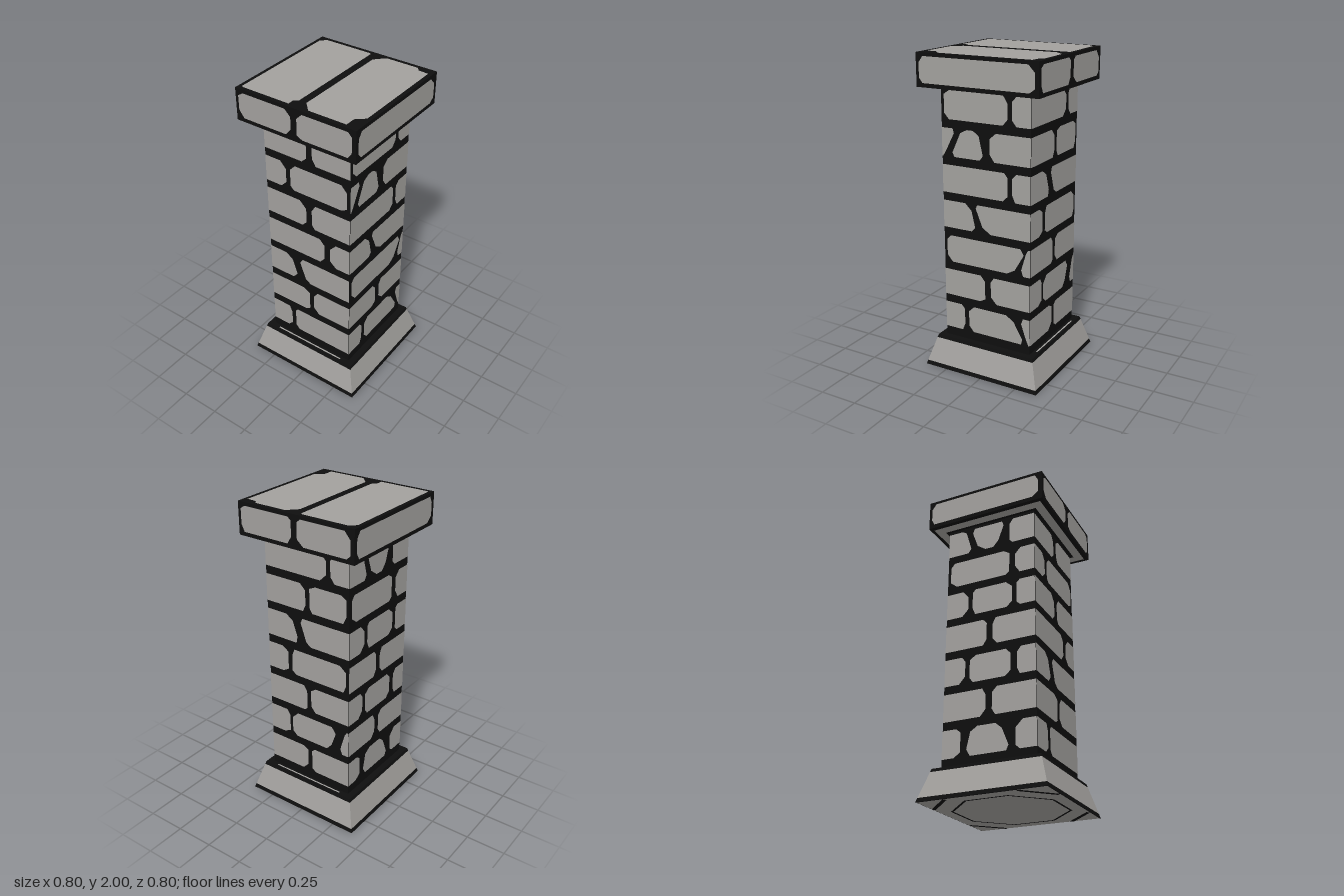
import * as THREE from 'three';

const stoneMat = new THREE.MeshStandardMaterial({ color: 0xa2a09d });
stoneMat.name = 'grey stone';
const mortarMat = new THREE.MeshStandardMaterial({ color: 0x0e0e0e });
mortarMat.name = 'black mortar';

const GAP = 0.002; // painted faces sit this far off the surface

// Stones per row, bottom row first: [left, right] or [bottomLeft, bottomRight, topRight, topLeft]
const FACES = {
  front: [
    [[-0.3, -0.16], [-0.13, 0.27, 0.17, -0.13], [0.29, 0.3, 0.3, 0.23]],
    [[-0.3, -0.01], [0.03, 0.3]],
    [[-0.28, 0.18, 0.28, -0.28], [0.23, 0.3, 0.3, 0.28]],
    [[-0.3, -0.07, -0.11, -0.3], [-0.01, 0.3, 0.3, -0.08]],
    [[-0.3, 0.15], [0.18, 0.3]],
    [[-0.3, -0.29, -0.2, -0.3], [-0.24, -0.01, -0.05, -0.16], [0.03, 0.3]],
    [[-0.28, 0.15], [0.18, 0.3]],
  ],
  right: [
    [[-0.3, -0.01], [0.02, 0.3]],
    [[-0.3, -0.15], [-0.13, 0.16, 0.22, -0.13], [0.23, 0.3, 0.3, 0.28]],
    [[-0.3, -0.01], [0.02, 0.3]],
    [[-0.3, -0.15], [-0.12, 0.28]],
    [[-0.3, -0.06, -0.12, -0.3], [0.0, 0.3, 0.3, -0.06]],
    [[-0.3, -0.01], [0.02, 0.28]],
    [[-0.3, 0.14], [0.17, 0.3]],
  ],
  back: [
    [[-0.3, -0.18], [-0.15, 0.14, 0.07, -0.11], [0.17, 0.3]],
    [[-0.3, -0.02], [0.02, 0.3]],
    [[-0.3, -0.16], [-0.13, 0.14], [0.18, 0.3]],
    [[-0.3, -0.02], [0.02, 0.3]],
    [[-0.3, -0.15], [-0.12, 0.15], [0.18, 0.3]],
    [[-0.28, 0.13], [0.17, 0.3]],
    [[-0.3, -0.13, -0.18, -0.3], [-0.08, 0.04, 0.1, -0.14], [0.13, 0.3]],
  ],
  left: [
    [[-0.3, -0.15], [-0.12, 0.3]],
    [[-0.3, 0], [0.03, 0.3]],
    [[-0.3, -0.08, -0.14, -0.3], [-0.02, 0.3, 0.3, -0.08]],
    [[-0.3, 0.12], [0.16, 0.3]],
    [[-0.3, -0.01], [0.03, 0.3]],
    [[-0.3, -0.15], [-0.12, 0.28]],
    [[-0.3, 0], [0.04, 0.3]],
  ],
};
const ANGLES = { front: 0, right: Math.PI / 2, back: Math.PI, left: -Math.PI / 2 };

let seed = 7;
const rand = () => (seed = (seed * 16807) % 2147483647) / 2147483647;

function add(parent, name, geometry, material) {
  const mesh = new THREE.Mesh(geometry, material);
  mesh.name = name;
  parent.add(mesh);
  return mesh;
}

// Flat stone with worn corners; corners that wrap round the pillar stay square
function stoneGeometry(spec, y0, y1, limit = 9) {
  const [bl, br, tr, tl] = spec.length === 2 ? [spec[0], spec[1], spec[1], spec[0]] : spec;
  const corners = [[bl, y0], [br, y0], [tr, y1], [tl, y1]].map(p => new THREE.Vector2(...p));
  const points = [];
  corners.forEach((c, i) => {
    if (Math.abs(c.x) >= limit) return points.push(c);
    const prev = corners[(i + 3) % 4], next = corners[(i + 1) % 4];
    const cut = (other) => {
      const d = other.clone().sub(c);
      const wear = Math.min(0.018 + 0.028 * rand(), d.length() * 0.35);
      return c.clone().add(d.setLength(wear));
    };
    points.push(cut(prev), cut(next));
  });
  return new THREE.ShapeGeometry(new THREE.Shape(points));
}

// Square tapered block between two heights
function taper(y0, y1, half0, half1) {
  const g = new THREE.CylinderGeometry(half1 * Math.SQRT2, half0 * Math.SQRT2, y1 - y0, 4, 1);
  g.rotateY(Math.PI / 4).translate(0, (y0 + y1) / 2, 0);
  const flat = g.toNonIndexed();
  flat.computeVertexNormals();
  return flat;
}

function squareRing(outer, inner) {
  const path = h => [[-h, -h], [h, -h], [h, h], [-h, h]].map(p => new THREE.Vector2(...p));
  const shape = new THREE.Shape(path(outer));
  shape.holes.push(new THREE.Path(path(inner)));
  return new THREE.ShapeGeometry(shape);
}

function buildBase() {
  const base = new THREE.Group();
  base.name = 'base';
  const half = y => 0.4 - 0.3 * y;
  const bands = [['baseLowerTrim', 0, 0.025, mortarMat], ['basePlinth', 0.025, 0.18, stoneMat], ['baseUpperTrim', 0.18, 0.2, mortarMat]];
  for (const [name, y0, y1, mat] of bands) add(base, name, taper(y0, y1, half(y0), half(y1)), mat);

  // Underside: stone slab with an octagonal groove and corner grooves
  add(base, 'undersideSlab', new THREE.PlaneGeometry(0.79, 0.79).rotateX(Math.PI / 2).translate(0, 0.0005 - GAP, 0), stoneMat);
  const ring = new THREE.RingGeometry(0.335, 0.35, 8, 1, Math.PI / 8);
  add(base, 'undersideGroove', ring.rotateX(Math.PI / 2).translate(0, -GAP * 1.5, 0), mortarMat);
  for (let i = 0; i < 4; i++) {
    const groove = new THREE.PlaneGeometry(0.025, 0.24).rotateX(Math.PI / 2);
    groove.translate(0.43, -GAP * 1.5, 0).rotateY(Math.PI / 4 + i * Math.PI / 2);
    add(base, 'cornerGroove', groove, mortarMat);
  }
  // Pale slivers on the side ledges
  for (const s of [-1, 1]) {
    add(base, 'ledgeSliver', new THREE.PlaneGeometry(0.01, 0.5).rotateX(-Math.PI / 2).translate(s * 0.322, 0.2 + GAP, 0), stoneMat);
  }
  return base;
}

function buildShaft() {
  const shaft = new THREE.Group();
  shaft.name = 'shaft';
  add(shaft, 'shaftCore', new THREE.BoxGeometry(0.6, 1.6, 0.6).translate(0, 1, 0), mortarMat);
  for (const [side, rows] of Object.entries(FACES)) {
    const face = new THREE.Group();
    face.name = side + 'Stones';
    face.rotation.y = ANGLES[side];
    rows.forEach((row, r) => {
      const y0 = 0.257 + r * 0.225;
      for (const spec of row) {
        add(face, 'stone', stoneGeometry(spec, y0, y0 + 0.173, 0.299), stoneMat).position.z = 0.3 + GAP;
      }
    });
    shaft.add(face);
  }
  return shaft;
}

function buildCap() {
  const cap = new THREE.Group();
  cap.name = 'cap';
  add(cap, 'capCore', new THREE.BoxGeometry(0.8, 0.2, 0.8).translate(0, 1.9, 0), mortarMat);
  const single = [[-0.38, 0.375]], pair = [[-0.38, -0.02], [0.02, 0.375]];
  for (const [side, angle] of Object.entries(ANGLES)) {
    const face = new THREE.Group();
    face.name = side + 'CapStones';
    face.rotation.y = angle;
    for (const spec of side === 'front' || side === 'back' ? single : pair) {
      add(face, 'capStone', stoneGeometry(spec, 1.825, 1.98), stoneMat).position.z = 0.4 + GAP;
    }
    cap.add(face);
  }
  // Two long slabs on top, given as x and z outlines
  const slabs = [
    [[-0.375, -0.36], [-0.375, 0.05 - 0.1], [-0.335, -0.05], [-0.315, -0.025], [0.365, -0.025], [0.375, -0.035], [0.375, -0.345], [0.34, -0.378], [-0.37, -0.378]],
    [[-0.375, 0.08], [-0.375, 0.323], [-0.31, 0.323], [-0.265, 0.375], [0.345, 0.375], [0.35, 0.31], [0.375, 0.29], [0.375, 0.08], [0.315, 0.023], [-0.315, 0.023]],
  ];
  for (const outline of slabs) {
    const shape = new THREE.Shape(outline.map(([x, z]) => new THREE.Vector2(x, -z)));
    add(cap, 'topSlab', new THREE.ShapeGeometry(shape).rotateX(-Math.PI / 2).translate(0, 2 + GAP / 2, 0), stoneMat);
  }
  add(cap, 'capUnderside', squareRing(0.375, 0.32).rotateX(Math.PI / 2).translate(0, 1.8 - GAP, 0), stoneMat);
  return cap;
}

export function createModel() {
  seed = 7;
  const model = new THREE.Group();
  model.name = 'stonePillar';
  model.add(buildBase(), buildShaft(), buildCap());
  return model;
}
